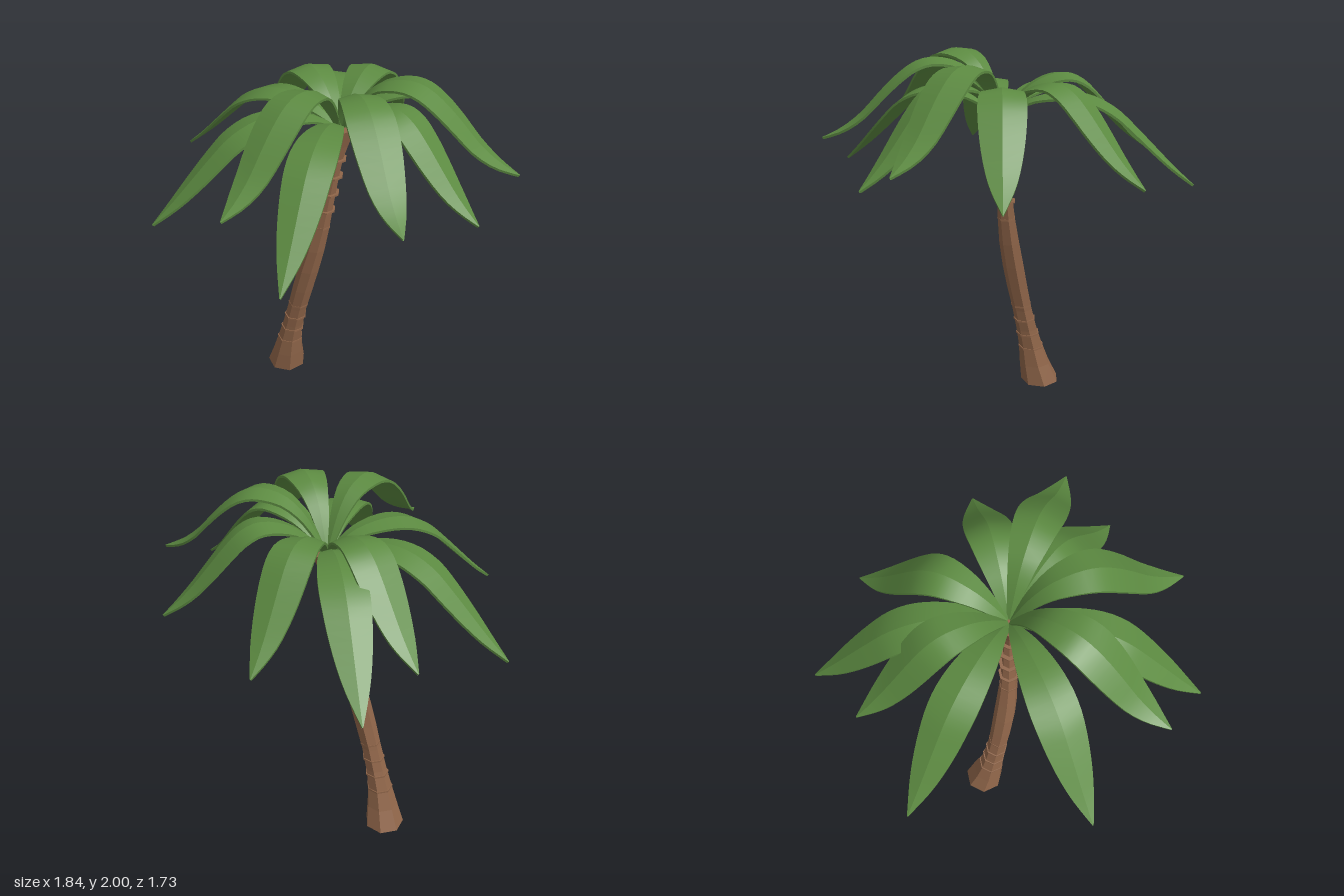
import * as THREE from 'three';

const CROWN = { x: 0.06, z: -0.047 };

// Trunk stations: [y, centre x, centre z, radius]
const STATIONS = [
  [0, -0.29, 0.032, 0.113], [0.12, -0.26, 0.046, 0.09], [0.24, -0.234, 0.053, 0.071],
  [0.36, -0.203, 0.055, 0.061], [0.5, -0.167, 0.054, 0.057], [0.65, -0.127, 0.049, 0.06],
  [0.8, -0.088, 0.04, 0.061], [0.95, -0.05, 0.027, 0.057], [1.1, -0.018, 0.012, 0.049],
  [1.25, 0.006, -0.003, 0.042], [1.4, 0.029, -0.019, 0.038], [1.52, 0.047, -0.032, 0.037],
  [1.6, 0.053, -0.04, 0.054], [1.7, 0.06, -0.047, 0.082],
];

// Frond tiers: midrib as [distance out, height]
const TIERS = {
  high: [[0, 1.69], [0.05, 1.79], [0.12, 1.895], [0.21, 1.97], [0.33, 2], [0.43, 1.98],
    [0.52, 1.92], [0.61, 1.835], [0.71, 1.73], [0.81, 1.655], [0.912, 1.605]],
  mid: [[0, 1.69], [0.06, 1.765], [0.15, 1.845], [0.25, 1.89], [0.35, 1.9], [0.44, 1.86],
    [0.52, 1.785], [0.6, 1.695], [0.69, 1.595], [0.77, 1.52], [0.845, 1.46]],
  low: [[0, 1.69], [0.08, 1.75], [0.18, 1.8], [0.33, 1.823], [0.46, 1.805], [0.58, 1.745],
    [0.68, 1.655], [0.78, 1.555], [0.89, 1.445], [0.995, 1.35]],
};

// Tip of every frond: [tier, x, z]
const TIPS = [
  ['mid', -0.15, -0.85], ['mid', 0.57, -0.71], ['high', 0.9, -0.355], ['mid', 0.9, -0.05],
  ['high', 0.82, 0.44], ['low', 0.48, 0.85], ['high', 0.14, 0.85], ['low', -0.39, 0.83],
  ['low', -0.91, 0.12], ['mid', -0.71, -0.365], ['low', -0.66, -0.71],
];

// Linear lookup in a table keyed by its first column
function lookup(table, t, col) {
  let i = 1;
  while (i < table.length - 1 && table[i][0] < t) i++;
  const a = table[i - 1], b = table[i];
  return THREE.MathUtils.lerp(a[col], b[col], (t - a[0]) / (b[0] - a[0]));
}

// Faceted trunk lofted through horizontal seven-sided sections
function trunkGeometry() {
  const geo = new THREE.CylinderGeometry(1, 1, 1, 7, STATIONS.length - 1);
  const p = geo.attributes.position;
  for (let i = 0; i < p.count; i++) {
    const k = Math.round((p.getY(i) + 0.5) * (STATIONS.length - 1));
    const [y, cx, cz, r] = STATIONS[k];
    p.setXYZ(i, cx + p.getX(i) * r, y, cz + p.getZ(i) * r);
  }
  geo.computeVertexNormals();
  return geo;
}

// Half-width of a frond along its length
const WIDTH = new THREE.SplineCurve([
  [0, 0.014], [0.14, 0.056], [0.28, 0.089], [0.42, 0.109], [0.55, 0.115],
  [0.7, 0.101], [0.85, 0.065], [1, 0.003],
].map(([x, y]) => new THREE.Vector2(x, y))).getPoints(56).map((v) => [v.x, v.y]);

// Arched blade along +x with a little thickness, folded down on both sides of a sharp midrib
function frondGeometry(midrib) {
  const curve = new THREE.SplineCurve(midrib.map(([x, y]) => new THREE.Vector2(x, y)));
  const length = midrib[midrib.length - 1][0];
  const steps = 24, thickness = 0.012, pos = [], index = [];
  for (const side of [1, -1]) {
    // Upper face, rim and lower face as separate strips, so their edges stay sharp
    for (const strip of [[[0, 0], [1, 0]], [[1, 0], [1, 1]], [[1, 1], [0, 1]]]) {
      const start = pos.length / 3;
      for (let i = 0; i <= steps; i++) {
        const c = curve.getPoint(i / steps), t = curve.getTangent(i / steps);
        const w = lookup(WIDTH, c.x / length, 1);
        for (const [out, under] of strip) {
          const drop = out * w * 0.18 + under * thickness;
          pos.push(c.x + t.y * drop, c.y - t.x * drop, side * out * w);
        }
        if (i === steps) continue;
        const a = start + i * 2, b = a + 1, d = a + 2, e = a + 3;
        if (side > 0) index.push(a, b, d, b, e, d);
        else index.push(a, d, b, b, d, e);
      }
    }
  }
  const geo = new THREE.BufferGeometry();
  geo.setAttribute('position', new THREE.Float32BufferAttribute(pos, 3));
  geo.setIndex(index);
  geo.computeVertexNormals();
  return geo;
}

export function createModel() {
  const model = new THREE.Group();
  model.name = 'palmTree';

  const bark = new THREE.MeshStandardMaterial({ color: 0x8f6549, flatShading: true });
  bark.name = 'bark brown';
  const leaf = new THREE.MeshStandardMaterial({ color: 0x5c8a41, side: THREE.DoubleSide });
  leaf.name = 'leaf green';

  const trunk = new THREE.Mesh(trunkGeometry(), bark);
  trunk.name = 'trunk';
  model.add(trunk);

  // Thin bark rings near the foot and below the crown: [y, radius]
  const rings = new THREE.Group();
  rings.name = 'barkRings';
  for (const [y, r] of [[0.235, 0.076], [0.33, 0.069], [0.43, 0.065], [0.53, 0.059],
    [1.105, 0.051], [1.21, 0.057], [1.315, 0.058], [1.42, 0.058], [1.52, 0.056]]) {
    const ring = new THREE.Mesh(new THREE.CylinderGeometry(r, r, 0.01, 7), bark);
    ring.name = 'barkRing';
    ring.position.set(lookup(STATIONS, y, 1), y, lookup(STATIONS, y, 2));
    rings.add(ring);
  }
  model.add(rings);

  // Three tiers of fronds around the crown
  const fronds = new THREE.Group();
  fronds.name = 'fronds';
  fronds.position.set(CROWN.x, 0, CROWN.z);
  const blades = {};
  for (const tier in TIERS) blades[tier] = frondGeometry(TIERS[tier]);
  for (const [tier, x, z] of TIPS) {
    const frond = new THREE.Mesh(blades[tier], leaf);
    frond.name = tier + 'Frond';
    frond.rotation.y = Math.atan2(CROWN.z - z, x - CROWN.x);
    fronds.add(frond);
  }
  model.add(fronds);
  return model;
}
